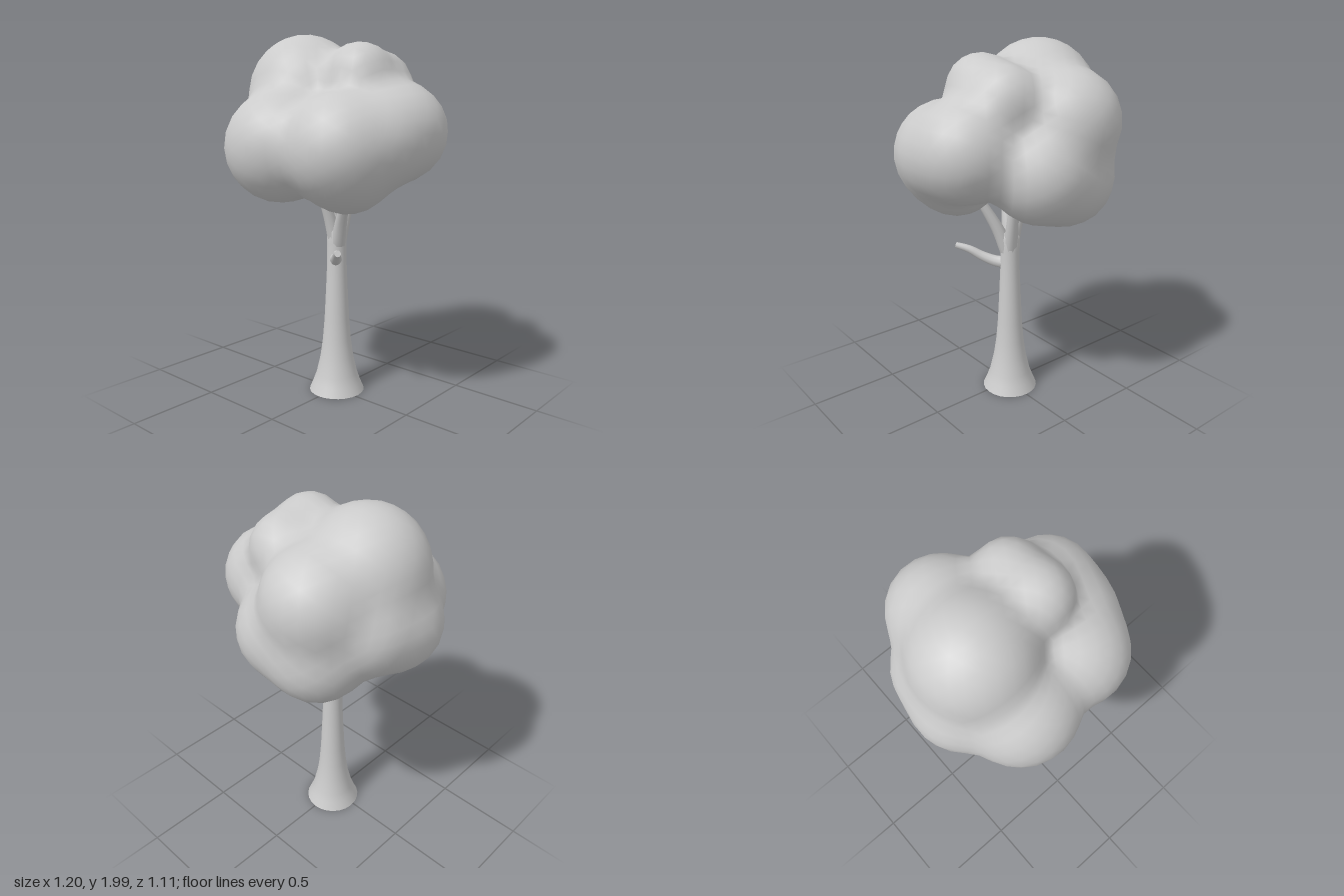
import * as THREE from 'three';
import { mergeVertices } from 'three/addons/utils/BufferGeometryUtils.js';

const material = new THREE.MeshStandardMaterial({ color: 0xcccccc });
const openMaterial = new THREE.MeshStandardMaterial({ color: 0xcccccc, side: THREE.DoubleSide });

// Leaf masses: x, y, z, radius
const LOBES = [
  [0, 1.47, 0, 0.27],           // core
  [-0.21, 1.68, 0.0, 0.31],     // crown, left
  [-0.16, 1.60, -0.29, 0.27],   // crown, back
  [0.17, 1.76, 0.0, 0.175],     // crown, right
  [0.16, 1.72, -0.18, 0.175],   // crown, back right
  [0.34, 1.48, -0.10, 0.26],    // right side
  [0.35, 1.44, 0.07, 0.235],    // right side, forward
  [0.23, 1.40, 0.22, 0.285],    // front right
  [0.22, 1.29, 0.15, 0.215],    // front right, low
  [-0.15, 1.40, 0.26, 0.295],   // front left
  [-0.34, 1.41, 0.05, 0.255],   // left side
  [-0.33, 1.45, -0.13, 0.23],   // left side, back
  [-0.15, 1.31, -0.28, 0.26],   // low back
  [0.04, 1.36, -0.30, 0.255],   // back right
];

// Smooth union of all lobes; negative inside
function foliageDistance(p) {
  const k = 0.03;
  let sum = 0;
  for (const [x, y, z, r] of LOBES) {
    sum += Math.exp(-(Math.hypot(p.x - x, p.y - y, p.z - z) - r) / k);
  }
  return -k * Math.log(sum);
}

// Shrink a sphere onto the blended lobes
function foliageGeometry() {
  let geometry = new THREE.IcosahedronGeometry(1, 8);
  geometry.deleteAttribute('normal');
  geometry.deleteAttribute('uv');
  geometry = mergeVertices(geometry, 1e-4);
  const centre = new THREE.Vector3(0, 1.48, 0);
  const pos = geometry.attributes.position;
  const dir = new THREE.Vector3();
  const p = new THREE.Vector3();
  for (let i = 0; i < pos.count; i++) {
    dir.fromBufferAttribute(pos, i).normalize();
    let t = 1;
    for (let step = 0; step < 60; step++) {
      t -= foliageDistance(p.copy(centre).addScaledVector(dir, t)) * 0.9;
    }
    p.copy(centre).addScaledVector(dir, t);
    pos.setXYZ(i, p.x, p.y, p.z);
  }
  geometry.computeVertexNormals();
  return geometry;
}

// Tapered round limb with a capped tip
function limb(name, points, r0, r1) {
  const group = new THREE.Group();
  group.name = name;
  const curve = new THREE.CatmullRomCurve3(points.map((a) => new THREE.Vector3(...a)));
  const rings = 12, sides = 10;
  const geometry = new THREE.TubeGeometry(curve, rings, 1, sides);
  const pos = geometry.attributes.position;
  const v = new THREE.Vector3();
  for (let i = 0; i < pos.count; i++) {
    const t = Math.floor(i / (sides + 1)) / rings;
    const c = curve.getPointAt(t);
    v.fromBufferAttribute(pos, i).sub(c).multiplyScalar(r0 + (r1 - r0) * t).add(c);
    pos.setXYZ(i, v.x, v.y, v.z);
  }
  const stem = new THREE.Mesh(geometry, material);
  stem.name = name + 'Stem';
  const tip = new THREE.Mesh(new THREE.CircleGeometry(r1, sides), material);
  tip.name = name + 'Tip';
  tip.position.copy(curve.getPointAt(1));
  tip.lookAt(tip.position.clone().add(curve.getTangentAt(1)));
  group.add(stem, tip);
  return group;
}

export function createModel() {
  const tree = new THREE.Group();
  tree.name = 'tree';

  // Flared trunk, open at the base
  const profile = [
    [0.156, 0], [0.135, 0.05], [0.117, 0.1], [0.094, 0.2], [0.08, 0.3], [0.07, 0.42],
    [0.062, 0.58], [0.055, 0.74], [0.054, 0.86], [0.056, 0.93], [0.045, 0.965], [0, 0.98],
  ].map(([r, y]) => new THREE.Vector2(r, y));
  const trunk = new THREE.Mesh(new THREE.LatheGeometry(profile, 24), openMaterial);
  trunk.name = 'trunk';
  trunk.position.set(-0.003, 0, -0.02);
  tree.add(trunk);

  // Forked boughs reaching into the foliage
  const boughs = [
    [0.13, 1.14, 0.06],
    [0.035, 1.2, -0.11],
    [-0.085, 1.15, -0.04],
    [-0.04, 1.15, 0.065],
  ];
  boughs.forEach(([x, y, z], i) => {
    tree.add(limb('bough' + (i + 1), [
      [x * 0.1, 0.86, -0.02 + (z + 0.02) * 0.1],
      [x * 0.42, 0.98, -0.02 + (z + 0.02) * 0.42],
      [x, y, z],
    ], 0.042, 0.024));
  });

  // Short side twig
  tree.add(limb('twig', [
    [0.0, 0.775, -0.01], [0.05, 0.782, 0.05], [0.1, 0.808, 0.105],
    [0.15, 0.845, 0.155], [0.203, 0.866, 0.21],
  ], 0.036, 0.017));

  // Foliage
  const foliage = new THREE.Mesh(foliageGeometry(), material);
  foliage.name = 'foliage';
  tree.add(foliage);

  return tree;
}
